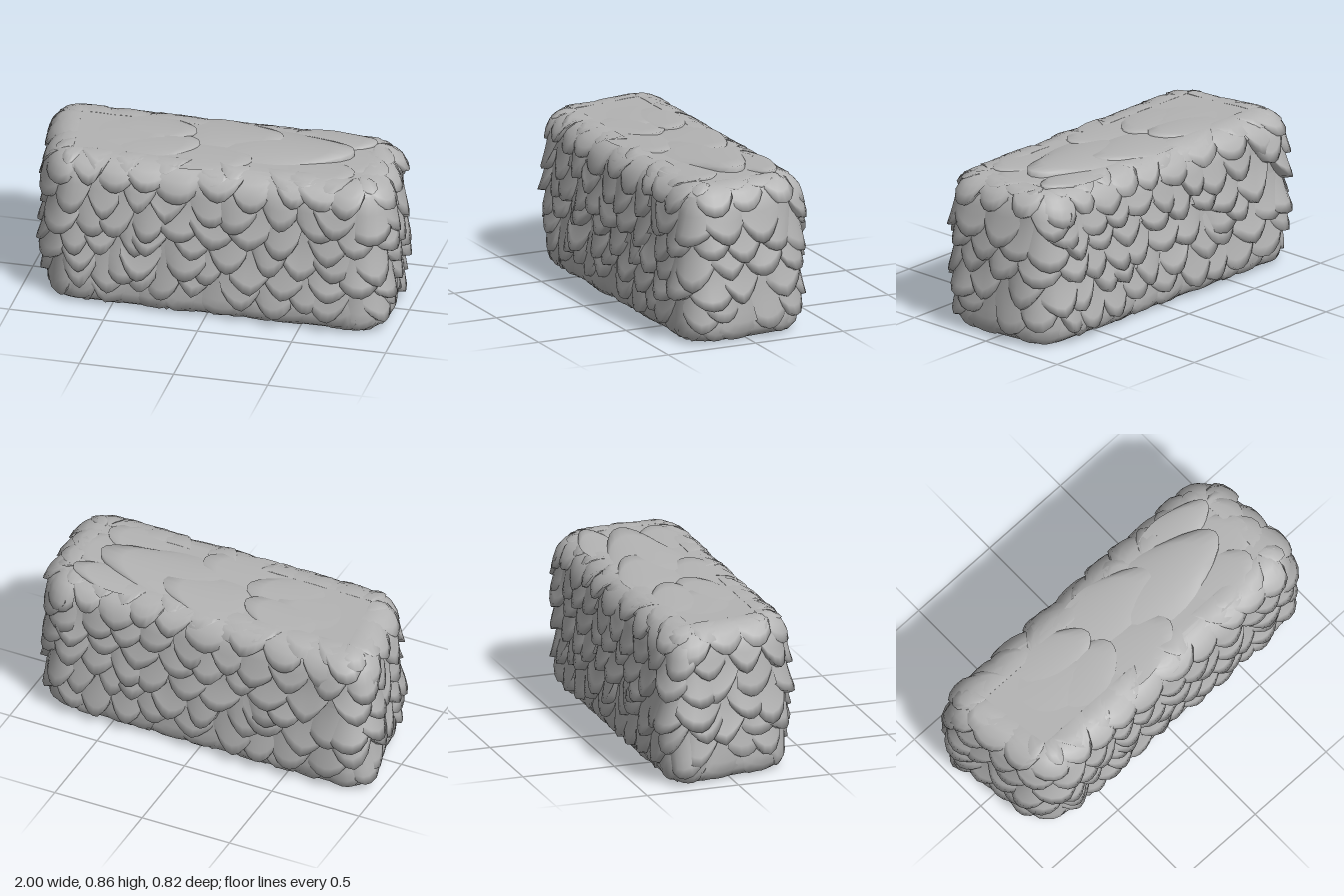
import * as THREE from 'three';
import { mergeGeometries } from 'three/addons/utils/BufferGeometryUtils.js';

const X = 0.935, Z = 0.345, H = 0.828;      // half sizes and height of the hedge body
const R = 0.16, RT = 0.11, RB = 0.08;       // plan corner, top edge and bottom edge radii
const A = X - R, B = Z - R, ARC = R * Math.PI / 2;
const PERIMETER = 4 * A + 4 * B + 4 * ARC;
const TOP_ARC = RT * Math.PI / 2, WALL = H - RT - RB, BOTTOM_ARC = RB * Math.PI / 2;
const D_MIN = -0.04, D_MAX = TOP_ARC + WALL + BOTTOM_ARC;

let seed = 11;
const rand = (a, b) => {
  seed = (seed * 16807) % 2147483647;
  return a + (b - a) * seed / 2147483647;
};

// Point on the rounded-rectangle outline: inner centre plus outward direction
function outline(s) {
  s = ((s % PERIMETER) + PERIMETER) % PERIMETER;
  const corners = [[A, B], [A, -B], [-A, -B], [-A, B]];
  for (let k = 0; k < 4; k++) {
    const [x0, z0] = corners[(k + 3) % 4], [x1, z1] = corners[k];
    const len = k % 2 ? 2 * B : 2 * A;
    const side = Math.PI / 2 - k * Math.PI / 2;
    if (s <= len) {
      const t = s / len;
      return [x0 + (x1 - x0) * t, z0 + (z1 - z0) * t, Math.cos(side), Math.sin(side)];
    }
    s -= len;
    if (s <= ARC) {
      const a = side - s / R;
      return [x1, z1, Math.cos(a), Math.sin(a)];
    }
    s -= ARC;
  }
  return [-A, B, 0, 1];
}

// The ends are not quite square: the right end slants and the left end's back corner is trimmed
function slant(x, y, z) {
  const t = Math.min(Math.max((Math.abs(x) - 0.3) / 0.6, 0), 1);
  const shift = x < 0 ? 0.03 + 0.06 * z / Z : -0.04 * Math.max(0, -z / Z);
  return [x + t * shift, y, z];
}

// Surface of the body: s runs round it, d runs from the top edge down and under, off lifts outward
function surface(s, d, off, shrink = 1) {
  const [cx, cz, nx, nz] = outline(s);
  d = Math.min(Math.max(d, D_MIN), D_MAX);
  let r, y, out = 1, up = 0;
  if (d < 0) {
    r = R - RT + d; y = H; out = 0; up = 1;
  } else if (d < TOP_ARC) {
    out = Math.sin(d / RT); up = Math.cos(d / RT);
    r = R - RT + RT * out; y = H - RT + RT * up;
  } else if (d < TOP_ARC + WALL) {
    r = R; y = H - RT - (d - TOP_ARC);
  } else {
    const a = (d - TOP_ARC - WALL) / RB;
    out = Math.cos(a); up = -Math.sin(a);
    r = R - RB + RB * out; y = RB + RB * up;
  }
  r += out * off;
  return slant((cx + nx * r) * shrink, Math.max(0, y + up * off * 0.4), (cz + nz * r) * shrink);
}

// Curved sheet from a rule over u (-1..1 across) and v (0..1 root to tip)
function sheet(nu, nv, rule) {
  const pos = [], index = [];
  for (let j = 0; j <= nv; j++)
    for (let i = 0; i <= nu; i++) pos.push(...rule(i / nu * 2 - 1, j / nv));
  for (let j = 0; j < nv; j++)
    for (let i = 0; i < nu; i++) {
      const a = j * (nu + 1) + i, b = a + nu + 1;
      index.push(a, b, a + 1, b, b + 1, a + 1);
    }
  const g = new THREE.BufferGeometry();
  g.setAttribute('position', new THREE.Float32BufferAttribute(pos, 3));
  g.setIndex(index);
  g.computeVertexNormals();
  return g;
}

// One leaf clump hanging down the side; its flared tip folds back under to the body
function leaf(s, tip, length, half, flare) {
  const drop = rand(0.06, 0.12), skew = rand(-0.05, 0.05), power = rand(1.3, 2.4);
  const tilt = rand(-0.016, 0.016), lean = rand(-0.03, 0.03);
  return sheet(6, 6, (u, v) => {
    const t = Math.min(v * 1.2, 1), lip = v > 0.99;
    const off = 0.004 + flare * t ** 1.5 * (1 - 0.5 * u * u) - 0.012 * u * u + tilt * u * t;
    return surface(
      s + u * half * (1 - 0.12 * t * t) + skew * t,
      tip - length + t * (length - drop * Math.abs(u) ** power + lean * u) + (lip ? 0.012 : 0),
      lip ? -0.01 : off);
  });
}

// One broad clump lying on top, its raised tip folded down
function topClump([x, z, length, half, angle, lift]) {
  return sheet(8, 7, (u, v) => {
    const t = Math.min(v * 7 / 6, 1), lip = v > 0.99;
    const along = t * length * (1 - 0.3 * u * u);
    const across = -u * half * (0.75 + 0.25 * Math.sin(t * Math.PI));
    return slant(
      x + along * Math.cos(angle) - across * Math.sin(angle),
      lip ? H - 0.01 : H - 0.008 + (lift + 0.008) * Math.sqrt(t) * (1 - 0.8 * u * u),
      z + along * Math.sin(angle) + across * Math.cos(angle));
  });
}

export function createModel() {
  const foliage = new THREE.MeshStandardMaterial({ color: 0xb4b4b4, side: THREE.DoubleSide });
  foliage.name = 'foliage grey';
  const model = new THREE.Group();
  model.name = 'hedge';
  const add = (name, geometry) => {
    const mesh = new THREE.Mesh(geometry, foliage);
    mesh.name = name;
    model.add(mesh);
  };

  // Solid rounded body, closed at the middle of its top and bottom
  add('hedgeBody', sheet(120, 32, (u, v) => surface(
    (u + 1) / 2 * PERIMETER * 0.999999,
    D_MIN + (v * 32 - 1) / 30 * (D_MAX - D_MIN),
    0, v === 0 || v === 1 ? 0 : 1)));

  // Overlapping rows of leaf clumps, staggered like shingles
  const flares = [0.018, 0.036, 0.052, 0.058, 0.057, 0.053, 0.035, 0.012];
  flares.forEach((flare, row) => {
    const count = 26, step = PERIMETER / count, leaves = [];
    for (let i = 0; i < count; i++) {
      const s = (i + (row % 2) / 2 + rand(-0.22, 0.22)) * step;
      const tip = 0.1 + row * 0.117 + rand(-0.04, 0.04);
      leaves.push(leaf(s, tip, rand(0.23, 0.28), rand(0.105, 0.135), flare * rand(0.75, 1.1)));
    }
    add('leafRow' + (row + 1), mergeGeometries(leaves));
  });

  // Broad clumps on top: root x, root z, length, half width, direction, lift
  const topClumps = [
    [-0.8, -0.05, 0.5, 0.22, 0.1, 0.008], [-0.6, 0.1, 0.5, 0.18, -0.15, 0.014],
    [-0.65, -0.14, 0.5, 0.16, 0.1, 0.016], [-0.3, 0.1, 0.5, 0.18, 0.1, 0.012],
    [-0.25, -0.1, 0.55, 0.18, -0.05, 0.022], [-0.05, -0.04, 0.75, 0.2, 0, 0.036],
    [0.3, 0.12, 0.45, 0.16, 0.1, 0.01], [0.35, -0.18, 0.45, 0.12, -0.05, 0.018],
    [0.4, 0, 0.45, 0.22, 0, 0.006],
  ];
  add('topClumps', mergeGeometries(topClumps.map(topClump)));
  return model;
}
